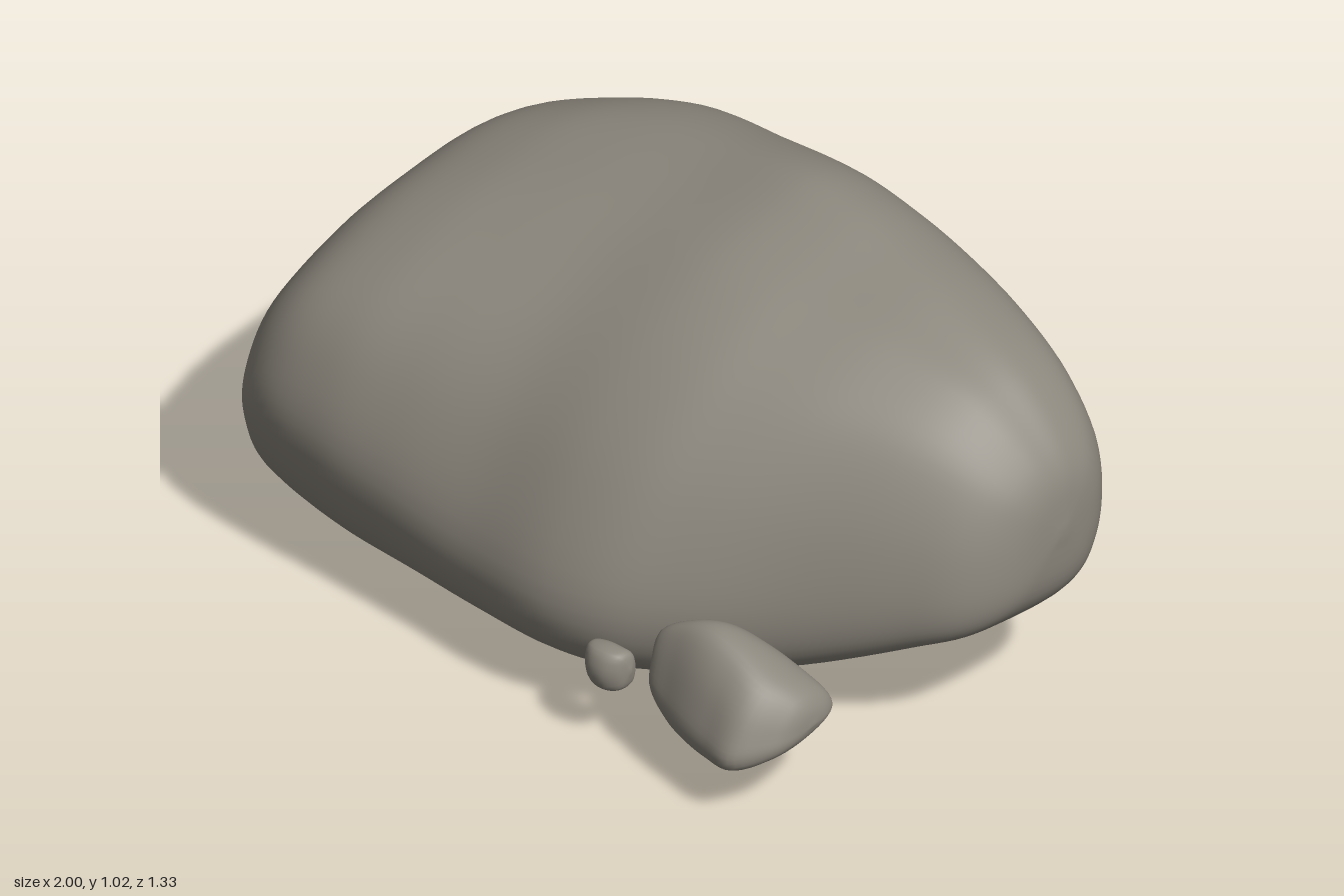
import * as THREE from 'three';
import { mergeVertices } from 'three/addons/utils/BufferGeometryUtils.js';

// Section outlines [u, v]: u -1 back to 1 front, v 0 bottom to 1 top; running top, front, bottom, back
const boulderLeft = [[-0.4, 1], [-0.05, 0.985], [0.34, 0.93], [0.77, 0.79], [0.96, 0.6], [1, 0.39], [0.84, 0.13],
  [0.4, 0.015], [-0.4, 0], [-0.75, 0.07], [-0.95, 0.27], [-1, 0.5], [-0.93, 0.72], [-0.72, 0.92]];
const boulderMiddle = [[-0.46, 1], [-0.18, 0.97], [0.15, 0.91], [0.5, 0.765], [0.8, 0.55], [1, 0.27], [0.86, 0.08],
  [0.4, 0.01], [-0.4, 0], [-0.75, 0.07], [-0.95, 0.26], [-1, 0.48], [-0.93, 0.7], [-0.73, 0.91]];
const boulderRight = [[-0.4, 1], [-0.1, 0.985], [0.2, 0.94], [0.58, 0.8], [0.88, 0.53], [1, 0.23], [0.86, 0.06],
  [0.4, 0.01], [-0.3, 0], [-0.7, 0.09], [-0.93, 0.3], [-1, 0.52], [-0.96, 0.75], [-0.76, 0.93]];
const drop = [[0, 1], [0.32, 0.92], [0.62, 0.71], [0.86, 0.43], [1, 0.2], [0.9, 0.03], [0.5, 0],
  [0, 0.07], [-0.55, 0.22], [-0.92, 0.42], [-0.98, 0.6], [-0.78, 0.83], [-0.4, 0.97]];
const block = [[0, 1], [0.7, 0.9], [1, 0.5], [0.7, 0.08], [0, 0], [-0.7, 0.1], [-1, 0.5], [-0.7, 0.92]];

// Smooth stone lofted through stations [x, top, bottom, front, back]
function stone(name, stations, outlineAt, material, around, along) {
  const rings = stations.map(([x, top, bottom, front, back]) => {
    const loop = outlineAt(x).map(([u, v]) => new THREE.Vector3(
      x, bottom + v * (top - bottom), (front + back) / 2 + u * (front - back) / 2));
    return new THREE.CatmullRomCurve3(loop, true, 'catmullrom', 0.5).getPoints(around).slice(0, around);
  });
  const position = [], index = [];
  for (let j = 0; j < around; j++) {
    const rib = new THREE.CatmullRomCurve3(rings.map((ring) => ring[j]));
    rib.getPoints(along).forEach((p) => position.push(p.x, p.y, p.z));
  }
  const row = along + 1;
  for (let j = 0; j < around; j++) {
    for (let i = 0; i < along; i++) {
      const a = j * row + i, b = ((j + 1) % around) * row + i;
      if (i > 0) index.push(a, b, a + 1);
      if (i < along - 1) index.push(b, b + 1, a + 1);
    }
  }
  let geometry = new THREE.BufferGeometry();
  geometry.setAttribute('position', new THREE.Float32BufferAttribute(position, 3));
  geometry.setIndex(index);
  geometry = mergeVertices(geometry, 1e-5);
  geometry.computeVertexNormals();
  const mesh = new THREE.Mesh(geometry, material);
  mesh.name = name;
  return mesh;
}

// Boulder outline blends from the left end through the middle to the right end
function boulderOutline(x) {
  const [a, b, t] = x < 0.1
    ? [boulderLeft, boulderMiddle, THREE.MathUtils.smoothstep(x, -0.8, 0.1)]
    : [boulderMiddle, boulderRight, THREE.MathUtils.smoothstep(x, 0.1, 0.8)];
  return a.map(([u, v], i) => [u + (b[i][0] - u) * t, v + (b[i][1] - v) * t]);
}

export function createModel() {
  const group = new THREE.Group();
  group.name = 'rocks';
  const grey = new THREE.MeshStandardMaterial({ color: 0x8c877d });
  grey.name = 'stone grey';

  // Large boulder
  group.add(stone('boulder', [
    [-1, 0.27, 0.27, 0.1, 0.1],
    [-0.978, 0.49, 0.13, 0.37, -0.13],
    [-0.9, 0.68, 0.08, 0.52, -0.34],
    [-0.78, 0.82, 0.045, 0.58, -0.505],
    [-0.6, 0.9, 0.01, 0.6, -0.595],
    [-0.4, 0.95, 0.002, 0.6, -0.66],
    [-0.15, 0.985, 0.015, 0.605, -0.65],
    [0.1, 1.02, 0.04, 0.62, -0.625],
    [0.25, 1.005, 0.055, 0.585, -0.605],
    [0.4, 0.97, 0.085, 0.495, -0.57],
    [0.6, 0.92, 0.14, 0.345, -0.5],
    [0.8, 0.84, 0.225, 0.2, -0.425],
    [0.92, 0.735, 0.285, 0.1, -0.37],
    [0.98, 0.64, 0.36, -0.01, -0.3],
    [1, 0.51, 0.51, -0.17, -0.17],
  ], boulderOutline, grey, 84, 84));

  // Drop-shaped stone by the front left corner
  group.add(stone('smallStone', [
    [0.41, 0.25, 0.25, 0.55, 0.55],
    [0.43, 0.33, 0.19, 0.59, 0.51],
    [0.5, 0.375, 0.14, 0.615, 0.46],
    [0.57, 0.39, 0.125, 0.635, 0.42],
    [0.65, 0.37, 0.12, 0.65, 0.395],
    [0.74, 0.325, 0.13, 0.66, 0.376],
    [0.8, 0.28, 0.16, 0.59, 0.38],
    [0.82, 0.25, 0.185, 0.54, 0.41],
    [0.828, 0.215, 0.215, 0.47, 0.47],
  ], () => drop, grey, 40, 40));

  // Tiny pebble beside it
  group.add(stone('pebble', [
    [0.243, 0.21, 0.21, 0.59, 0.59],
    [0.25, 0.24, 0.165, 0.61, 0.57],
    [0.28, 0.25, 0.15, 0.632, 0.555],
    [0.32, 0.25, 0.145, 0.632, 0.55],
    [0.35, 0.24, 0.155, 0.61, 0.55],
    [0.362, 0.2, 0.2, 0.575, 0.575],
  ], () => block, grey, 24, 24));

  return group;
}
